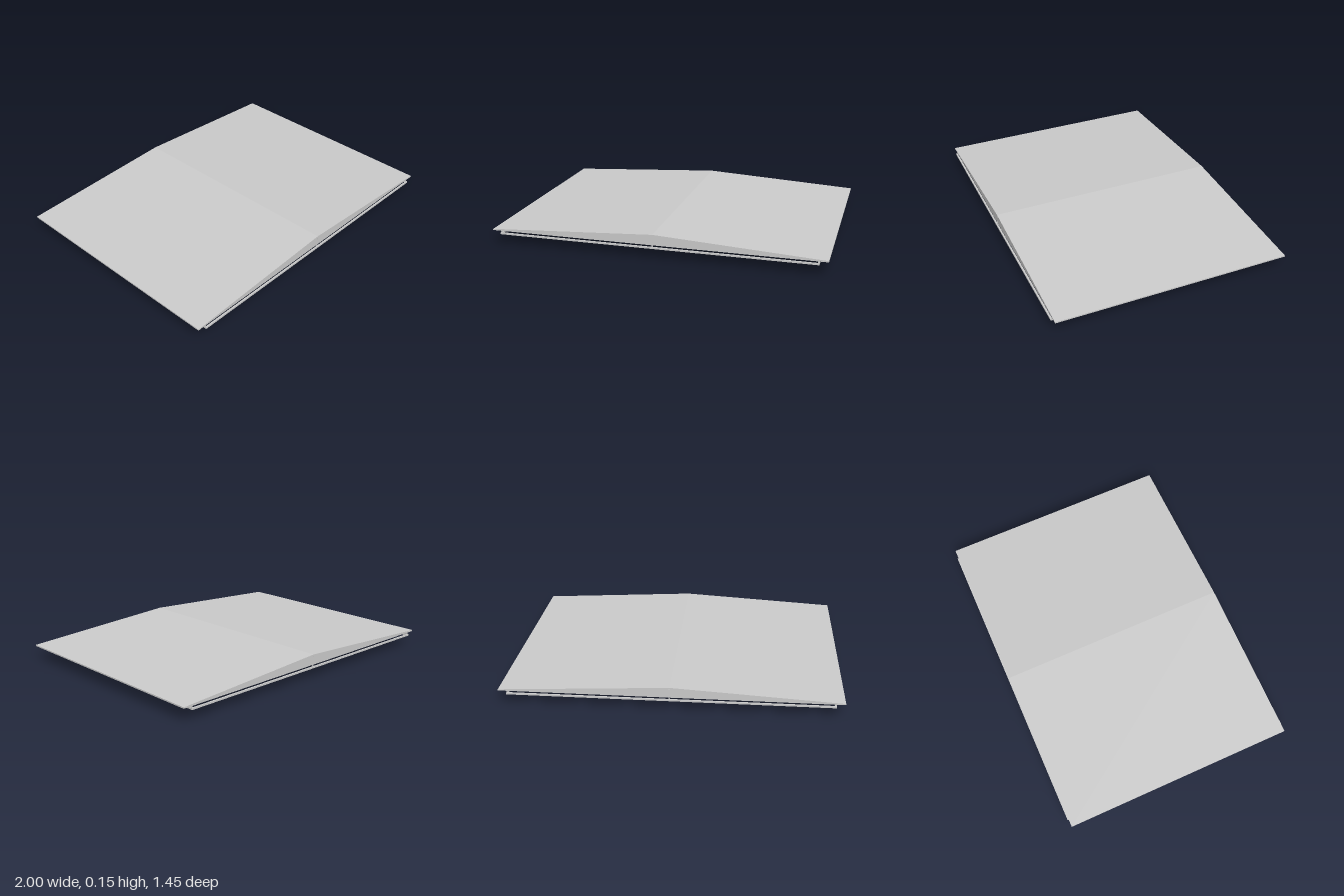
import * as THREE from 'three';

export function createModel() {
  const model = new THREE.Group();
  const material = new THREE.MeshStandardMaterial({ color: 0xcccccc, flatShading: true, side: THREE.DoubleSide });

  function add(name, geometry, x = 0, y = 0, z = 0) {
    const mesh = new THREE.Mesh(geometry, material);
    mesh.name = name;
    mesh.position.set(x, y, z);
    model.add(mesh);
    return mesh;
  }
  const box = (name, w, h, d, x, y, z) => add(name, new THREE.BoxGeometry(w, h, d), x, y, z);

  // Extrudes an outline in the xy plane along z, centred on z
  function prism(name, points, depth, z = 0) {
    const shape = new THREE.Shape(points.map(([x, y]) => new THREE.Vector2(x, y)));
    const geometry = new THREE.ExtrudeGeometry(shape, { depth, bevelEnabled: false });
    geometry.translate(0, 0, -depth / 2);
    return add(name, geometry, 0, 0, z);
  }

  const eave = 0.09, ridge = 0.146, skin = 0.008;
  const frameY = 0.068, bar = 0.01;
  const halfX = 0.945, halfZ = 0.722;

  // Shallow pitched roof, a thin folded sheet with its ridge along z
  prism('roof', [
    [-1, eave - skin], [0, ridge - skin], [1, eave - skin],
    [1, eave], [0, ridge], [-1, eave],
  ], 1.44);

  for (const side of [-1, 1]) {
    // Gable ends closing the space under the roof
    prism('gable', [[-0.99, eave - skin], [0.99, eave - skin], [0, ridge - skin]], 0.006, side * 0.716);

    // Perimeter frame and inner cross rails
    box('endRail', halfX * 2 + bar, bar, bar, 0, frameY, side * halfZ);
    box('sideRail', bar, bar, halfZ * 2, side * halfX, frameY, 0);
    box('crossRail', halfX * 2, bar, bar, 0, frameY, side * 0.5);

    // Short posts carrying the roof on the frame
    for (const x of [-halfX, halfX]) {
      box('cornerPost', 0.006, 0.016, 0.006, x, 0.078, side * 0.716);
    }
    box('ridgePost', 0.006, 0.066, 0.006, 0, 0.104, side * 0.717);
  }

  // Off-centre rail with the hanging box and its thin stem
  box('centreRail', bar, bar, 1, 0.22, frameY, 0);
  box('hangingBox', 0.13, 0.046, 0.09, 0.22, 0.047, 0);
  add('stem', new THREE.CylinderGeometry(0.002, 0.002, 0.026, 8), 0.22, 0.013, 0);

  return model;
}
